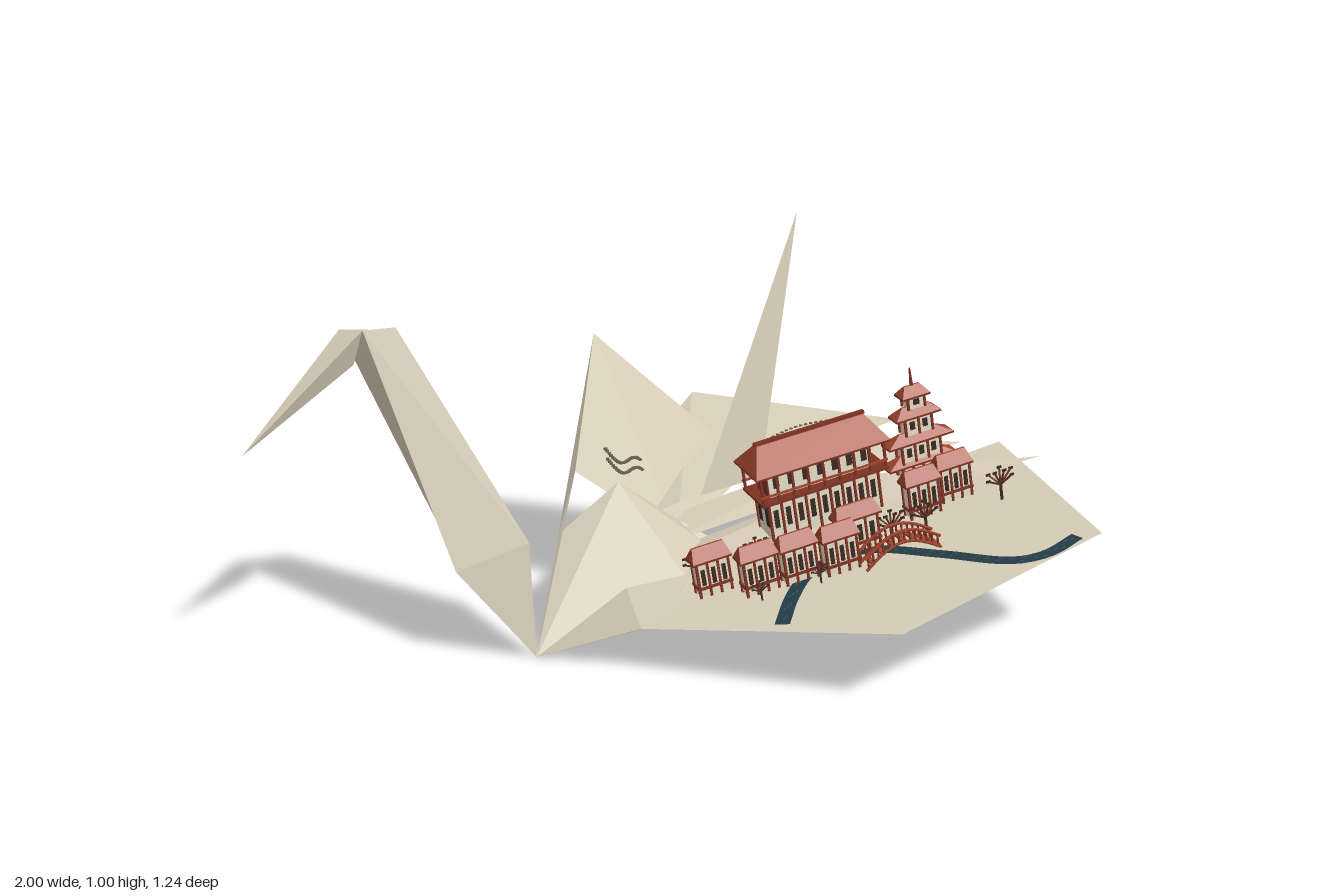
import * as THREE from 'three';

const mat = (name, color, side = THREE.FrontSide) => {
  const m = new THREE.MeshStandardMaterial({ color, side });
  m.name = name;
  return m;
};
const paper = mat('cream paper', 0xd8ceb9, THREE.DoubleSide);
const tan = mat('tan paper', 0xa89170, THREE.DoubleSide);
const red = mat('roof red', 0xa3452e);
const darkRed = mat('timber red', 0x7e3323);
const wall = mat('plaster', 0xe6dcc8);
const dark = mat('window brown', 0x3a2a22);
const water = mat('river teal', 0x223c45, THREE.DoubleSide);
const foam = mat('ripple blue', 0x3a545d);
const trail = mat('trail brown', 0x6e6250);

const add = (parent, name, geo, m, x = 0, y = 0, z = 0) => {
  const mesh = new THREE.Mesh(geo, m);
  mesh.name = name;
  mesh.position.set(x, y, z);
  parent.add(mesh);
  return mesh;
};
const box = (parent, name, m, w, h, d, x, y, z) =>
  add(parent, name, new THREE.BoxGeometry(w, h, d), m, x, y, z);

// Folded paper: each face is a fan of corner points
function sheet(parent, name, m, faces) {
  const pos = [];
  for (const f of faces)
    for (let i = 1; i < f.length - 1; i++) pos.push(...f[0], ...f[i], ...f[i + 1]);
  const g = new THREE.BufferGeometry();
  g.setAttribute('position', new THREE.Float32BufferAttribute(pos, 3));
  g.computeVertexNormals();
  return add(parent, name, g, m);
}

// Hipped roof: a box whose top shrinks to a ridge, with base at y
function roof(parent, name, w, h, d, ridge, x, y, z) {
  const g = new THREE.BoxGeometry(w, h, d).toNonIndexed();
  const p = g.attributes.position;
  for (let i = 0; i < p.count; i++)
    if (p.getY(i) > 0) p.setXYZ(i, p.getX(i) * ridge, p.getY(i), p.getZ(i) * 0.12);
  g.computeVertexNormals();
  add(parent, name, g, red, x, y + h / 2, z);
  box(parent, name + 'Eave', darkRed, w, 0.005, d, x, y - 0.002, z);
}

// Plaster storey with windows on both long sides
function storey(parent, name, w, h, d, x, y, z, n) {
  box(parent, name, wall, w, h, d, x, y + h / 2, z);
  for (let i = 0; i < n; i++)
    for (const s of [-1, 1]) {
      const wx = x + ((i + 0.5) / n - 0.5) * w;
      box(parent, name + 'Window', dark, (w / n) * 0.38, h * 0.44, 0.004, wx, y + h * 0.52, z + s * d / 2);
    }
}

// Row of timber columns along both long sides
function columns(parent, name, n, w, h, y, z) {
  for (let i = 0; i <= n; i++)
    for (const s of [-1, 1])
      box(parent, name, darkRed, 0.006, h, 0.006, (i / n - 0.5) * w, y + h / 2, s * z);
}

function house(parent, u, z, w = 0.095) {
  const g = new THREE.Group();
  g.name = 'house';
  g.position.set(u, 0, z);
  parent.add(g);
  storey(g, 'houseWall', w * 0.85, 0.095, 0.034, 0, 0.008, 0, 3);
  columns(g, 'housePost', 3, w * 0.85, 0.095, 0.005, 0.017);
  box(g, 'houseBalcony', darkRed, w * 0.95, 0.006, 0.044, 0, 0.03, 0);
  roof(g, 'houseRoof', w * 1.05, 0.032, 0.05, 0.8, 0, 0.1, 0);
}

// Bare flat tree
function tree(parent, u, z, s) {
  const g = new THREE.Group();
  g.name = 'tree';
  g.position.set(u, 0, z);
  parent.add(g);
  box(g, 'trunk', dark, 0.006 * s, 0.05 * s, 0.004, 0, 0.025 * s, 0);
  for (let i = 0; i < 7; i++) {
    const a = (i - 3) * 0.36, l = (0.036 + 0.01 * (i % 2)) * s;
    const b = box(g, 'branch', i % 2 ? darkRed : dark, 0.004 * s, l, 0.003,
      -Math.sin(a) * l / 2, 0.04 * s + Math.cos(a) * l / 2, 0);
    b.rotation.z = a;
    box(g, 'leafTuft', dark, 0.011 * s, 0.006 * s, 0.003, -Math.sin(a) * l, 0.04 * s + Math.cos(a) * l, 0);
  }
}

// Flat ribbon on the local ground, following (u, z) points
function ribbon(parent, name, m, pts, width, y) {
  const c = new THREE.CatmullRomCurve3(pts.map(([x, z]) => new THREE.Vector3(x, y, z)));
  const edge = c.getSpacedPoints(40).map((q, i) => {
    const t = c.getTangentAt(i / 40);
    return [[q.x - t.z * width, y, q.z + t.x * width], [q.x + t.z * width, y, q.z - t.x * width]];
  });
  sheet(parent, name, m, edge.slice(1).map((e, i) => [edge[i][0], edge[i][1], e[1], e[0]]));
  return c;
}

// Double dotted footpath laid on the plane of three points
function footpath(parent, [a, b, c], from, to, waves) {
  const { normal: n, constant } = new THREE.Plane().setFromCoplanarPoints(
    new THREE.Vector3(...a), new THREE.Vector3(...b), new THREE.Vector3(...c));
  for (let i = 0; i <= 24; i++)
    for (const s of [-1, 1]) {
      const t = i / 24;
      const x = from[0] + (to[0] - from[0]) * t;
      const z = from[1] + (to[1] - from[1]) * t + Math.sin(t * waves) * 0.012 + s * 0.008;
      box(parent, 'footpathStone', trail, 0.008, 0.006, 0.005, x, -(constant + n.x * x + n.z * z) / n.y, z);
    }
}

export function createModel() {
  const model = new THREE.Group();
  const bird = new THREE.Group();
  bird.name = 'paperBird';
  model.add(bird);

  // Beak and neck
  const P0 = [-0.345, 0.005, 0.035];
  const h1 = [-0.71, 0.857, -0.035], h2 = [-0.75, 0.845, -0.1], chin = [-0.73, 0.77, -0.06];
  const n1 = [-0.63, 0.85, -0.055], n2 = [-0.615, 0.825, -0.11];
  const m1 = [-0.54, 0.27, 0.05], m2 = [-0.35, 0.3, 0.015], m3 = [-0.37, 0.29, -0.09], m4 = [-0.52, 0.275, -0.08];
  const tip = [-1, 0.6, -0.02];
  sheet(bird, 'beak', paper, [[tip, h1, h2], [tip, chin, h1], [tip, h2, chin]]);
  sheet(bird, 'neck', paper, [[h1, m1, m2, n1], [h1, n1, n2, h2], [h2, n2, m3, m4], [h1, h2, m4, m1],
    [m1, P0, m2], [m1, m4, P0], [m4, m3, P0]]);
  sheet(bird, 'neckFold', tan, [[n1, m2, m3, n2], [m2, P0, m3]]);

  // Hull, its lining and lids, and the body folds
  const L = [0.04, 0.115, 0.16], T = [0.24, 0.145, -0.035], R = [-0.21, 0.14, -0.23];
  const peak = [-0.085, 0.375, -0.1], k1 = [0.05, 0.14, 0.07], k2 = [0.13, 0.19, -0.08];
  const E = [-0.235, 0.25, -0.12], root = [0.1, 0.22, -0.16], inner = [-0.1, 0.147, -0.03];
  const hullFaces = [[P0, T, L], [P0, R, T]];
  sheet(bird, 'hull', tan, hullFaces);
  sheet(bird, 'hullLining', paper, hullFaces).position.y = 0.003;
  sheet(bird, 'hullLid', paper, [[L, T, [0.12, 0.182, -0.04], [0, 0.165, 0.13]], [T, R, root], [P0, root, R], [P0, R, E]]);
  sheet(bird, 'bodyFold', paper, [[P0, k1, peak], [peak, k1, k2], [P0, peak, E], [peak, k2, root]]);

  // Raised small wing, passing through the far wing
  const A = [-0.03, 0.65, -0.44], B = [0.4, 0.24, -0.39], G = [0.1, 0.17, -0.16];
  const F = [-0.17, 0.385, -0.18];
  sheet(bird, 'raisedWing', paper, [[A, F, G, B], [A, E, F], [E, P0, F]]);

  // Tail spike
  const tail = [0.41, 1, -0.165];
  const base = [[0.14, 0.3, -0.115], [0.29, 0.34, -0.085], [0.25, 0.35, -0.2]];
  sheet(bird, 'tail', paper, base.map((p, i) => [tail, p, base[(i + 1) % 3]]));

  // Broad wings and the layers between them
  const W1 = [-0.145, 0.138, 0.23], W3 = [0.935, 0.32, 0.48], W5 = [0.995, 0.33, -0.115];
  sheet(bird, 'broadWing', paper, [[W1, [0.34, 0.22, 0.615], W3, W5, inner], [P0, W1, inner]]);
  const B1 = [0.315, 0.387, -0.62], B2 = [0.75, 0.384, -0.235], farRoot = [0.1, 0.27, -0.16];
  sheet(bird, 'farWing', paper, [[B1, R, farRoot, B2]]);
  sheet(bird, 'middleLayer', paper, [
    [[-0.1, 0.155, 0], [0.995, 0.365, 0.09], [0.58, 0.3, -0.095], [0.1, 0.18, -0.1]],
    [[0.05, 0.19, -0.1], [0.86, 0.36, -0.08], [0.68, 0.35, -0.21], [0.1, 0.21, -0.22]]]);
  footpath(bird, [B1, farRoot, B2], [0.27, -0.3], [0.61, -0.31], 7);
  footpath(bird, [R, farRoot, B2], [0.3, -0.165], [0.61, -0.18], 6);
  footpath(bird, [A, G, B], [-0.07, -0.23], [0.03, -0.24], 5);

  // Village stands on the slope of the broad wing
  const town = new THREE.Group();
  town.name = 'village';
  town.position.y = 0.168;
  town.rotation.z = 0.17;
  model.add(town);

  // Great hall
  const hall = new THREE.Group();
  hall.name = 'greatHall';
  hall.position.set(0.425, 0, 0.015);
  town.add(hall);
  storey(hall, 'hallLowerWall', 0.3, 0.11, 0.08, 0, 0.01, 0, 9);
  box(hall, 'hallGallery', darkRed, 0.345, 0.007, 0.13, 0, 0.122, 0);
  storey(hall, 'hallUpperWall', 0.28, 0.075, 0.07, 0, 0.125, 0, 7);
  columns(hall, 'hallLowerPost', 9, 0.3, 0.11, 0.01, 0.042);
  columns(hall, 'hallColumn', 8, 0.335, 0.075, 0.125, 0.058);
  for (const s of [-1, 1]) {
    box(hall, 'hallRail', red, 0.345, 0.005, 0.004, 0, 0.145, s * 0.062);
    box(hall, 'hallEndPanel', darkRed, 0.004, 0.07, 0.066, s * 0.141, 0.162, 0);
    for (const z of [-0.022, 0.022])
      box(hall, 'hallEndWindow', dark, 0.004, 0.06, 0.018, s * 0.15, 0.075, z);
  }
  roof(hall, 'hallRoof', 0.365, 0.058, 0.145, 0.8, 0, 0.2, 0);
  box(hall, 'hallRidge', darkRed, 0.3, 0.008, 0.012, 0, 0.261, 0);

  // Pagoda: storeys and roofs shrinking upwards
  const pagoda = new THREE.Group();
  pagoda.name = 'pagoda';
  pagoda.position.set(0.73, 0, -0.022);
  town.add(pagoda);
  [[0.17, 0, 0.065], [0.16, 0.07, 0.055], [0.11, 0.145, 0.05], [0.068, 0.215, 0.035]].forEach(([w, y, h], i) => {
    storey(pagoda, 'pagodaWall', w * 0.65, h, 0.034, 0, y, 0, 4 - i);
    columns(pagoda, 'pagodaPost', 4 - i, w * 0.68, h, y, 0.018);
    roof(pagoda, 'pagodaRoof', w * 1.15, 0.024, 0.05, 0.55, 0, y + h, 0);
  });
  add(pagoda, 'spire', new THREE.CylinderGeometry(0.002, 0.005, 0.05, 6), darkRed, 0, 0.295, 0);

  // Houses along the river, placed by [along slope, z]
  for (const [u, z, w] of [[0.06, 0.185], [0.155, 0.25], [0.255, 0.258], [0.355, 0.278],
    [0.435, 0.212, 0.115], [0.645, 0.145], [0.75, 0.115]]) house(town, u, z, w);

  // River with ripples
  const course = [[0.13, 0.43], [0.2, 0.33], [0.28, 0.25], [0.37, 0.22], [0.46, 0.24], [0.58, 0.36], [0.7, 0.49], [0.78, 0.51], [0.88, 0.48]];
  const curve = ribbon(town, 'river', water, course, 0.018, 0.006);
  for (let i = 1; i < 50; i++) {
    const p = curve.getPointAt(i / 50), t = curve.getTangentAt(i / 50);
    const r = box(town, 'ripple', foam, 0.011, 0.002, 0.003, p.x, 0.007, p.z + (i % 3 - 1) * 0.009);
    r.rotation.y = -Math.atan2(t.z, t.x);
  }

  // Arched bridge
  const arch = t => 0.01 + 0.045 * Math.sin(t * Math.PI);
  for (let i = 0; i < 14; i++) {
    const t = (i + 0.5) / 14, x = 0.395 + 0.2 * t, y = arch(t);
    if (i % 2) box(town, 'bridgePlank', red, 0.012, 0.005, 0.04, x, y, 0.312);
    for (const s of [-1, 1]) box(town, 'bridgePost', darkRed, 0.004, 0.032, 0.004, x, y + 0.014, 0.312 + s * 0.021);
  }
  for (const s of [-1, 1])
    for (const lift of [0, 0.03]) {
      const pts = Array.from({ length: 9 }, (_, i) =>
        new THREE.Vector3(0.395 + 0.025 * i, arch(i / 8) + lift, 0.312 + s * 0.021));
      add(town, 'bridgeRail', new THREE.TubeGeometry(new THREE.CatmullRomCurve3(pts), 16, 0.004, 5), red);
    }

  // Trees
  for (const [u, z, s] of [[0.05, 0.105, 0.9], [0.2, 0.13, 0.9], [0.29, 0.3, 0.6], [0.52, 0.225, 1],
    [0.61, 0.23, 1], [0.84, 0.195, 1.05], [0.14, 0.29, 0.6]]) tree(town, u, z, s);

  return model;
}
